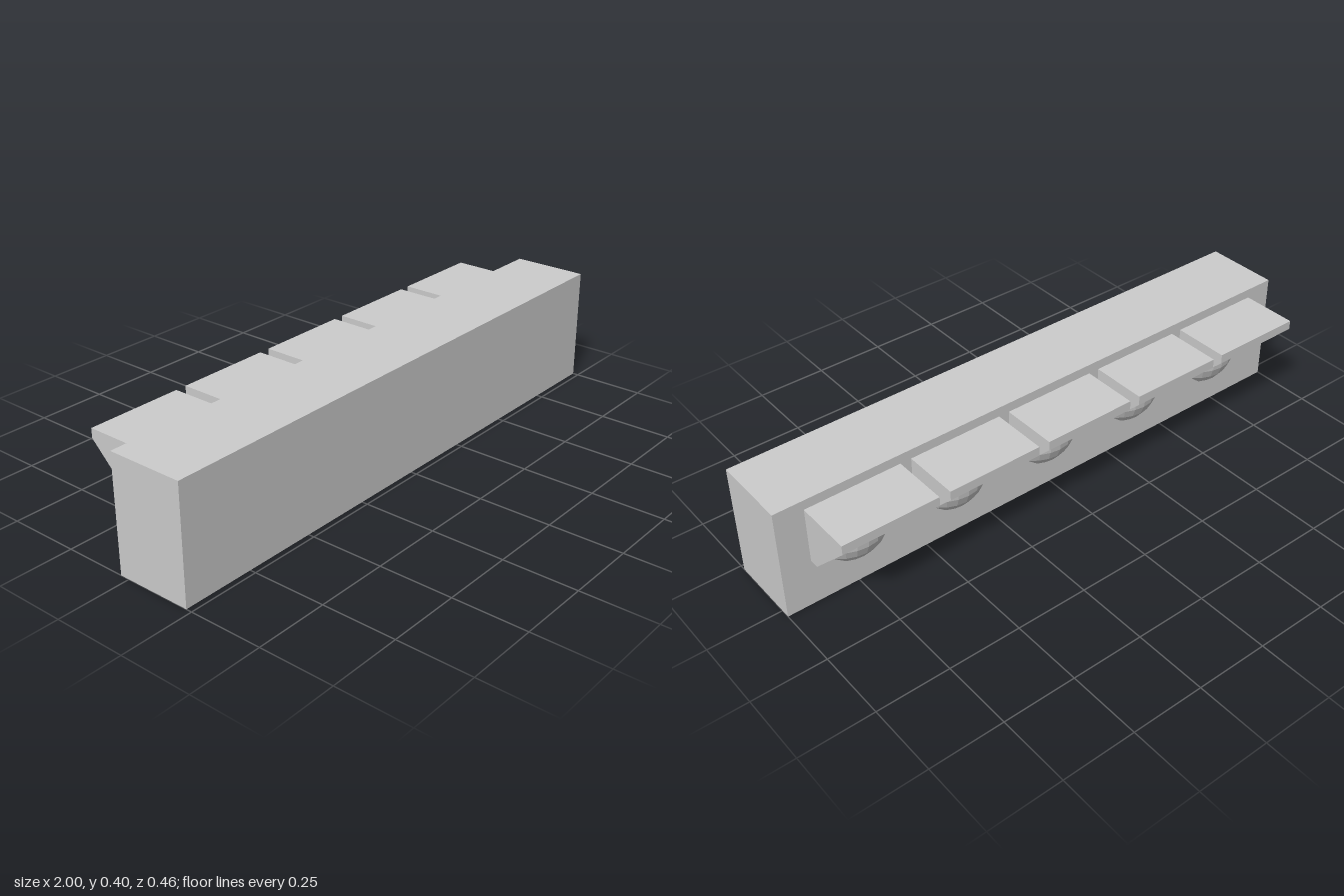
import * as THREE from 'three';

export function createModel() {
  const group = new THREE.Group();
  const material = new THREE.MeshStandardMaterial({ color: 0xcccccc, flatShading: true });
  const add = (parent, name, geometry, x, y, z) => {
    const mesh = new THREE.Mesh(geometry, material);
    mesh.name = name;
    mesh.position.set(x, y, z);
    parent.add(mesh);
  };

  const back = -0.032, hoodWidth = 0.33, wall = 0.033;

  // Long housing block
  add(group, 'housing', new THREE.BoxGeometry(2, 0.395, 0.262), 0, 0.1975, 0.099);

  // Side cheek outline: shape x is the distance out from the housing
  const cheekShape = new THREE.Shape([
    [0, 0.166], [0.033, 0.166], [0.198, 0.33], [0.198, 0.362], [0, 0.362],
  ].map(([x, y]) => new THREE.Vector2(x, y)));
  const cheek = new THREE.ExtrudeGeometry(cheekShape, { depth: wall, bevelEnabled: false });
  cheek.rotateY(Math.PI / 2); // outline runs towards -z, thickness along +x

  const roof = new THREE.BoxGeometry(hoodWidth - 2 * wall, 0.032, 0.198);
  const lens = new THREE.SphereGeometry(0.143, 24, 12);

  // Five hooded lamps along the rear face
  for (let i = -2; i <= 2; i++) {
    const lamp = new THREE.Group();
    lamp.name = 'lamp';
    lamp.position.x = i * 0.368;
    add(lamp, 'lens', lens, 0, 0.201, 0.0525);
    add(lamp, 'hoodRoof', roof, 0, 0.346, back - 0.099);
    add(lamp, 'hoodCheekRight', cheek, -hoodWidth / 2, 0, back);
    add(lamp, 'hoodCheekLeft', cheek, hoodWidth / 2 - wall, 0, back);
    group.add(lamp);
  }
  return group;
}
